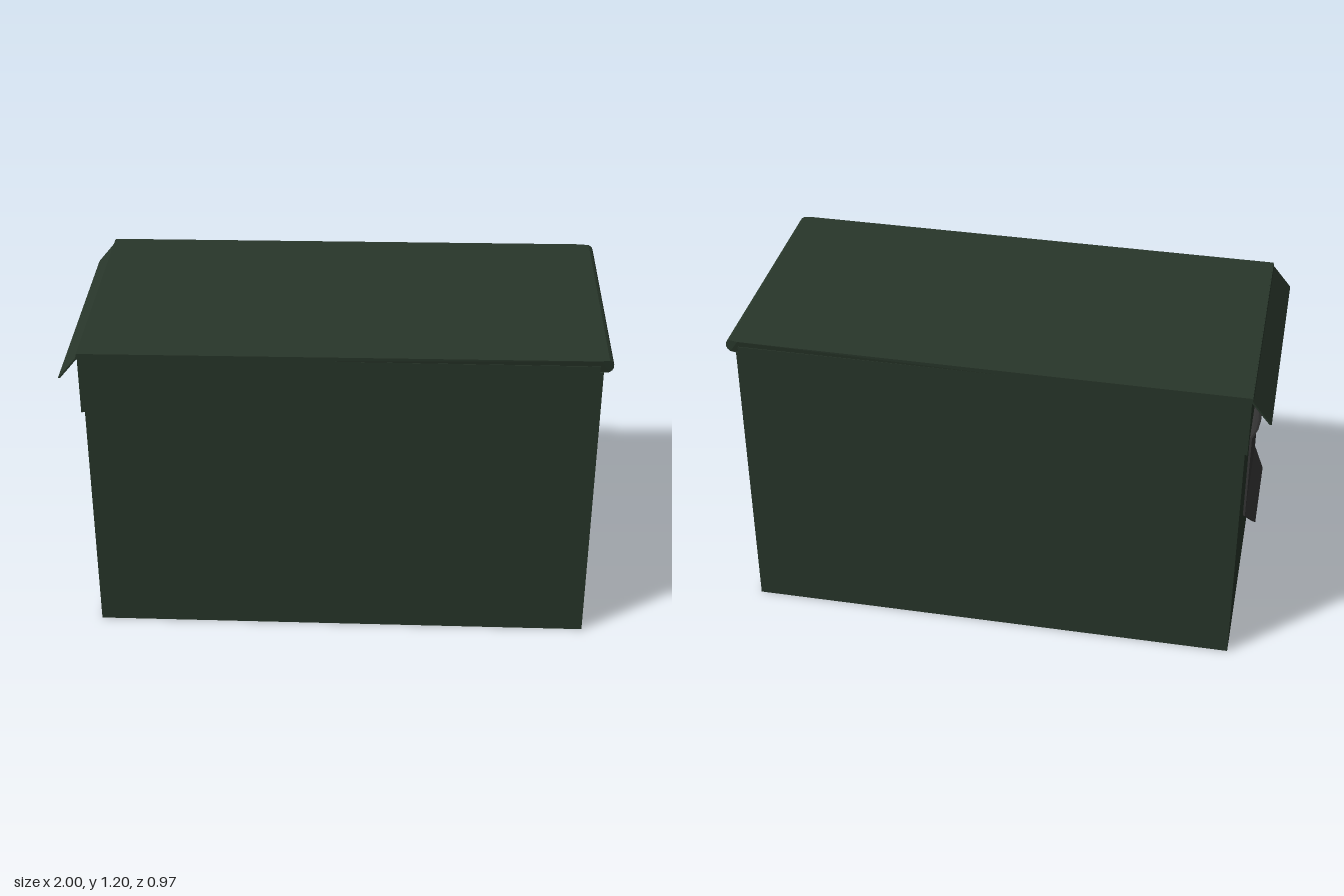
import * as THREE from 'three';

const green = new THREE.MeshStandardMaterial({ color: 0x28362a, side: THREE.DoubleSide });
const grey = new THREE.MeshStandardMaterial({ color: 0x363636, side: THREE.DoubleSide });

// Extrudes an (x, y) outline across z, centred on z = 0
function across(points, width) {
  const shape = new THREE.Shape(points.map(([x, y]) => new THREE.Vector2(x, y)));
  return new THREE.ExtrudeGeometry(shape, { depth: width, bevelEnabled: false })
    .translate(0, 0, -width / 2);
}

// Thin bent sheet following an (x, y) path
function sheet(path, width, thickness) {
  const inner = path.map(([x, y]) => [x + thickness, y]).reverse();
  return across([...path, ...inner], width);
}

// Scales the depth of each vertex by a rule
function taper(geometry, rule) {
  const p = geometry.attributes.position;
  for (let i = 0; i < p.count; i++) p.setZ(i, p.getZ(i) * rule(p.getX(i), p.getY(i)));
  geometry.computeVertexNormals();
  return geometry;
}

function add(group, name, geometry, material = green) {
  const mesh = new THREE.Mesh(geometry, material);
  mesh.name = name;
  group.add(mesh);
  return mesh;
}

export function createModel() {
  const model = new THREE.Group();
  model.name = 'hingedBox';

  // Plain box body
  add(model, 'body', new THREE.BoxGeometry(1.88, 1.165, 0.94).translate(0.025, 0.5825, 0));

  const lid = new THREE.Group();
  lid.name = 'lid';
  model.add(lid);

  // Lid plate with a rounded lip at the +x end, slightly narrowed there
  const plate = across([
    [-0.925, 1.16], [0.95, 1.155], [0.982, 1.155], [0.993, 1.162], [0.998, 1.172],
    [0.998, 1.186], [0.993, 1.196], [0.982, 1.202], [0.95, 1.202], [-0.925, 1.191],
  ], 0.974);
  add(lid, 'lidPlate', taper(plate, (x) => 1 - Math.max(0, x - 0.95) * 0.45));

  // Wedge-shaped side skirts
  for (const side of [-1, 1]) {
    const skirt = across([[-0.925, 0.948], [0.95, 1.153], [0.95, 1.18], [-0.925, 1.18]], 0.01);
    add(lid, side > 0 ? 'frontSkirt' : 'backSkirt', skirt).position.z = side * 0.482;
  }

  // Sloping flap along the -x edge
  add(lid, 'lidFlap', sheet([[-0.928, 1.188], [-0.93, 1.175], [-1, 1.09]], 0.974, 0.008));

  // Latch plate: bulged grip at the top, turned-out narrower tip at the bottom
  const latch = sheet([
    [-0.92, 1.06], [-0.93, 1.03], [-0.944, 0.995], [-0.954, 0.96], [-0.955, 0.93],
    [-0.948, 0.89], [-0.938, 0.865], [-0.928, 0.845], [-0.928, 0.485], [-0.968, 0.42],
  ], 0.47, 0.008);
  add(model, 'latch', taper(latch, (x, y) => (y < 0.45 ? 0.77 : 1)), grey);

  return model;
}
